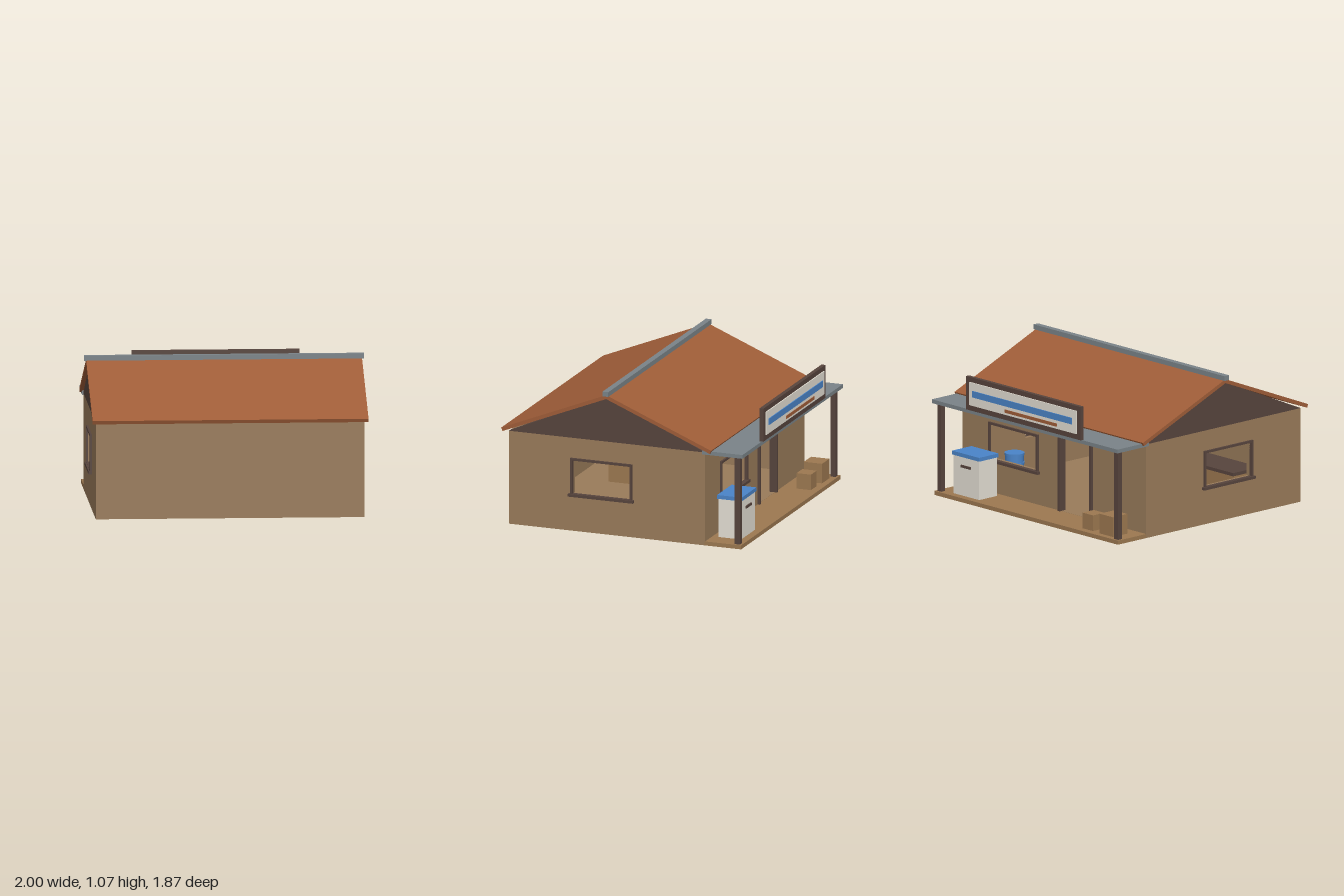
import * as THREE from 'three';

function mat(name, color) {
  const m = new THREE.MeshStandardMaterial({ color });
  m.name = name;
  return m;
}

export function createModel() {
  const house = new THREE.Group();
  house.name = 'porchHouse';
  const wall = mat('wallTan', 0x997b5a);
  const plank = mat('plankBrown', 0x9c7850);
  const dark = mat('darkWood', 0x57443d);
  const rust = mat('rustRoof', 0x9f5d38);
  const metal = mat('greyMetal', 0x7a8388);
  const white = mat('offWhite', 0xe4dfd4);
  const blue = mat('paintBlue', 0x4a84c8);

  const add = (name, geo, m, parent = house) => {
    const mesh = new THREE.Mesh(geo, m);
    mesh.name = name;
    parent.add(mesh);
    return mesh;
  };
  // Box given by its limits on each axis
  const box = (name, m, x0, x1, y0, y1, z0, z1, parent = house) => {
    const g = new THREE.BoxGeometry(x1 - x0, y1 - y0, z1 - z0);
    g.translate((x0 + x1) / 2, (y0 + y1) / 2, (z0 + z1) / 2);
    return add(name, g, m, parent);
  };
  const points = (list) => list.map(([x, y]) => new THREE.Vector2(x, y));
  const rect = (x0, x1, y0, y1) => points([[x0, y0], [x1, y0], [x1, y1], [x0, y1]]);
  const slab = (outline, holes, depth) => {
    const shape = new THREE.Shape(outline);
    holes.forEach((h) => shape.holes.push(new THREE.Path(h)));
    return new THREE.ExtrudeGeometry(shape, { depth, bevelEnabled: false }).translate(0, 0, -depth / 2);
  };
  // Slab drawn in the z-y plane, thick along x
  const sideSlab = (outline, holes, depth, x) =>
    slab(outline, holes, depth).rotateY(-Math.PI / 2).translate(x, 0, 0);

  // Floor and porch deck
  box('houseFloor', wall, -0.955, 0.955, 0, 0.03, -0.615, 0.88);
  box('porchDeck', plank, -0.96, 0.96, 0, 0.03, -0.895, -0.615);

  // Walls
  box('frontWall', wall, -0.96, 0.96, 0, 0.69, 0.845, 0.885);
  add('porchWall', slab(rect(-0.96, 0.96, 0.03, 0.69),
    [rect(0.18, 0.66, 0.275, 0.53), rect(-0.385, -0.07, 0.031, 0.61)], 0.04).translate(0, 0, -0.6), wall);
  for (const s of [-1, 1]) {
    add('sideWall', sideSlab(rect(-0.62, 0.885, 0, 0.69), [rect(-0.045, 0.395, 0.275, 0.525)], 0.04, s * 0.94), wall);
    add('gable', sideSlab(points([[-0.62, 0.69], [0.885, 0.69], [0.13, 1.02]]), [], 0.04, s * 0.94), dark);
    // Side window trim
    const frame = rect(-0.062, 0.41, 0.262, 0.542);
    add('sideWindowFrame', sideSlab(frame, [rect(-0.045, 0.395, 0.279, 0.525)], 0.025, s * 0.9625), dark);
    box('sideWindowSill', dark, s * 0.97 - 0.015, s * 0.97 + 0.015, 0.257, 0.277, -0.075, 0.425);
  }

  // Porch window and door trim
  add('porchWindowFrame', slab(rect(0.163, 0.677, 0.26, 0.547),
    [rect(0.18, 0.66, 0.277, 0.53)], 0.025).translate(0, 0, -0.6225), dark);
  box('porchWindowSill', dark, 0.15, 0.69, 0.257, 0.277, -0.647, -0.61);
  for (const x of [-0.393, -0.062]) box('doorJamb', dark, x - 0.012, x + 0.012, 0.03, 0.625, -0.638, -0.58);
  box('doorHead', dark, -0.381, -0.074, 0.603, 0.625, -0.638, -0.58);

  // Pitched roof and ridge cap
  const half = [[0.805, 0.715], [0.795, 0.69], [0, 1.013]];
  const roof = [[0, 1.042], ...half, [-0.795, 0.69], [-0.805, 0.715]].map(([z, y]) => [z + 0.13, y]);
  add('roof', sideSlab(points(roof), [], 1.97, 0), rust);
  box('ridgeCap', metal, -1, 1, 1.035, 1.07, 0.108, 0.152);

  // Porch canopy on two posts
  box('porchCanopy', metal, -0.97, 0.97, 0.677, 0.705, -0.91, -0.6);
  for (const s of [-1, 1]) box('porchPost', dark, s * 0.925 - 0.02, s * 0.925 + 0.02, 0.03, 0.678, -0.88, -0.84);

  // Signboard with plain stripes
  const sign = new THREE.Group();
  sign.name = 'signboard';
  house.add(sign);
  box('signBacking', dark, -0.6, 0.6, 0.705, 0.95, -0.923, -0.893, sign);
  box('signPanel', white, -0.56, 0.56, 0.745, 0.915, -0.931, -0.923, sign);
  box('signBlueStripe', blue, -0.52, 0.52, 0.81, 0.857, -0.938, -0.931, sign);
  box('signRustStripe', rust, -0.36, 0.18, 0.762, 0.785, -0.936, -0.931, sign);

  // Cooler chest
  const cooler = new THREE.Group();
  cooler.name = 'cooler';
  house.add(cooler);
  box('coolerBody', white, 0.55, 0.82, 0.03, 0.315, -0.84, -0.665, cooler);
  box('coolerLid', blue, 0.543, 0.827, 0.315, 0.343, -0.847, -0.658, cooler);
  box('coolerHandle', dark, 0.635, 0.735, 0.238, 0.256, -0.849, -0.84, cooler);

  // Crates on the porch
  box('largeCrate', plank, -0.86, -0.72, 0.03, 0.175, -0.85, -0.71);
  box('smallCrate', plank, -0.64, -0.53, 0.03, 0.145, -0.84, -0.73);

  // Drum and counter inside
  const drum = new THREE.Group();
  drum.name = 'drum';
  drum.position.set(0.75, 0, -0.31);
  house.add(drum);
  add('drumBody', new THREE.CylinderGeometry(0.068, 0.068, 0.22, 12).translate(0, 0.14, 0), blue, drum);
  for (const y of [0.1, 0.175, 0.242]) {
    add('drumRing', new THREE.CylinderGeometry(0.073, 0.073, 0.016, 12).translate(0, y, 0), blue, drum);
  }
  box('counterBody', plank, -0.82, -0.2, 0.03, 0.26, 0.36, 0.58);
  box('counterTop', dark, -0.84, -0.18, 0.26, 0.284, 0.34, 0.6);

  return house;
}
